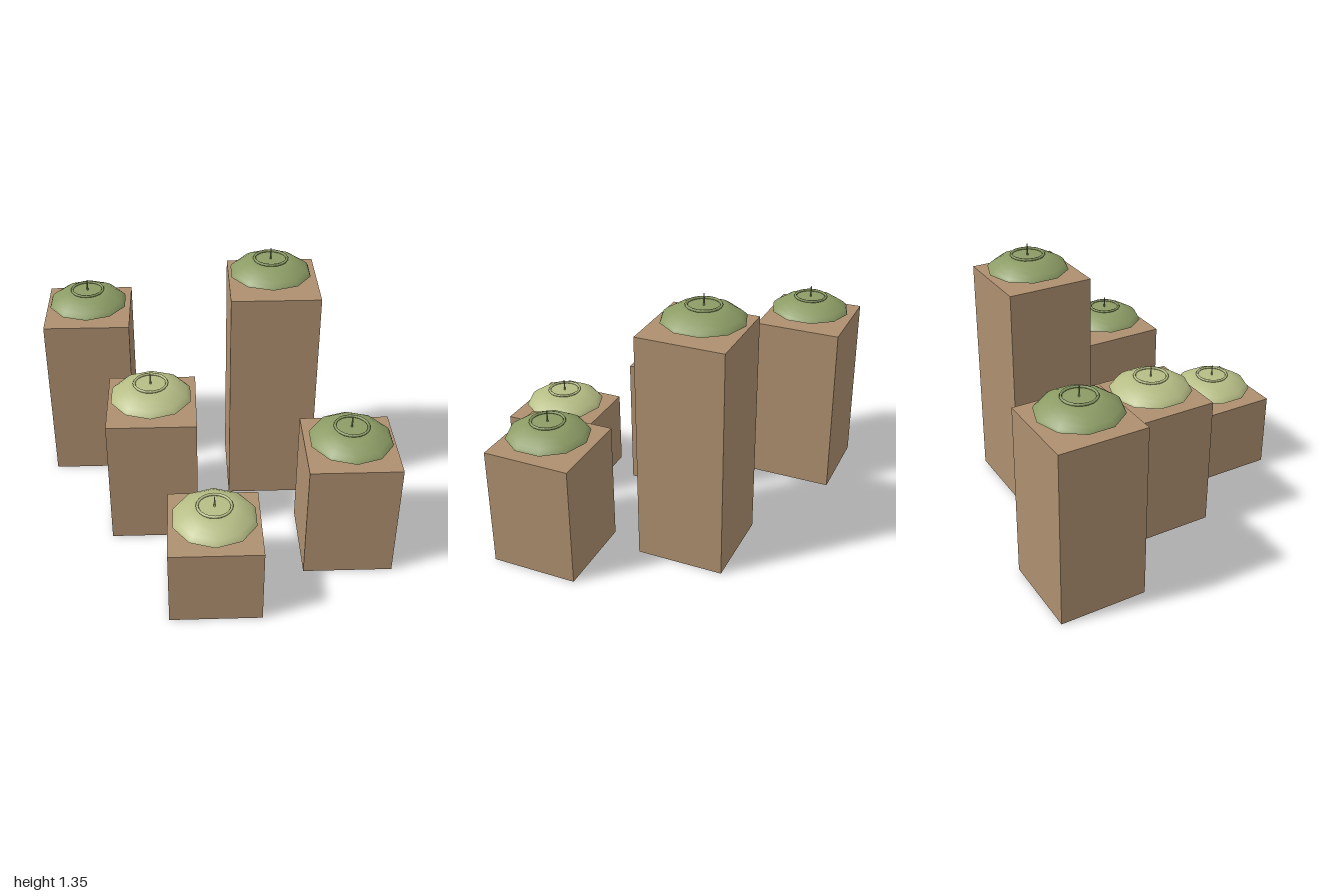
import * as THREE from 'three';

export function createModel() {
  const model = new THREE.Group();
  const mat = (name, color) => {
    const m = new THREE.MeshStandardMaterial({ color });
    m.name = name;
    return m;
  };
  const wood = mat('tan wood', 0xae9070);
  const sage = mat('sage green', 0x8c9c65);
  const paleGreen = mat('pale green', 0xb6bd85);

  const SIDES = 10;
  const TURN = -0.51;

  // Domed cap profile, from rim to the flat top
  const domeGeo = new THREE.LatheGeometry([
    [0.206, 0.036], [0.2, 0.047], [0.184, 0.061], [0.15, 0.083],
    [0.115, 0.097], [0.085, 0.104], [0, 0.105],
  ].map(([r, y]) => new THREE.Vector2(r, y)), SIDES);
  const undersideGeo = new THREE.LatheGeometry(
    [new THREE.Vector2(0, 0.036), new THREE.Vector2(0.206, 0.036)], SIDES);
  const neckGeo = new THREE.CylinderGeometry(0.083, 0.083, 0.037, 20, 1, true);
  const ringGeo = new THREE.TorusGeometry(0.081, 0.007, 6, 20).rotateX(Math.PI / 2);
  const spikeGeo = new THREE.CylinderGeometry(0.003, 0.005, 0.06, 6);

  const add = (parent, name, geo, material, y = 0) => {
    const mesh = new THREE.Mesh(geo, material);
    mesh.name = name;
    mesh.position.y = y;
    parent.add(mesh);
  };

  // Block centre x, z, block height, cap colour, cap offset in z
  const blocks = [
    [-0.345, -0.7, 0.906, sage, 0],
    [-0.337, -0.022, 0.69, paleGreen, -0.006],
    [-0.37, 0.635, 0.4, paleGreen, 0],
    [0.367, -0.016, 1.186, sage, -0.026],
    [0.358, 0.697, 0.618, sage, 0],
  ];

  blocks.forEach(([x, z, height, green, capZ], i) => {
    const pillar = new THREE.Group();
    pillar.name = `pillar${i + 1}`;
    pillar.position.set(x, 0, z);

    const block = new THREE.Group();
    block.name = 'block';
    block.rotation.y = TURN;
    add(block, 'woodBlock', new THREE.BoxGeometry(0.441, height, 0.441), wood, height / 2);

    // Cap standing on the block
    const cap = new THREE.Group();
    cap.name = 'cap';
    cap.position.set(0, height, capZ);
    cap.rotation.y = TURN;
    add(cap, 'neck', neckGeo, green, 0.0185);
    add(cap, 'underside', undersideGeo, green);
    add(cap, 'dome', domeGeo, green);
    add(cap, 'topRing', ringGeo, green, 0.109);
    add(cap, 'spike', spikeGeo, green, 0.132);

    pillar.add(block, cap);
    model.add(pillar);
  });

  // Underside profile runs outward, so make sure it shows from both sides
  undersideGeo.computeVertexNormals();
  return model;
}
